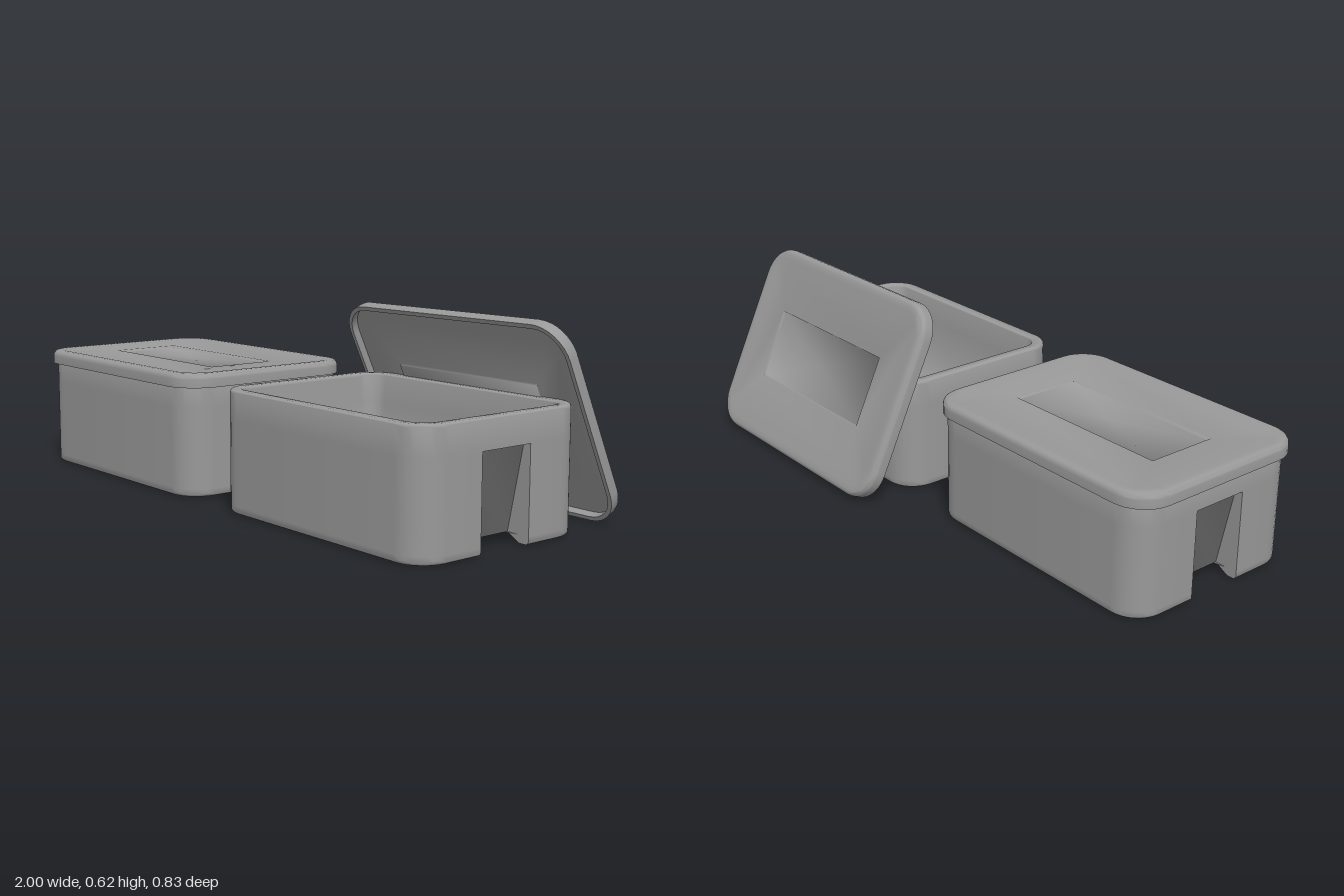
import * as THREE from 'three';
import { toCreasedNormals } from 'three/addons/utils/BufferGeometryUtils.js';

const material = new THREE.MeshStandardMaterial({ color: 0x999999 });
const NOTCH = 0.094; // half width of the side notch
const H = Math.PI / 2;

// One rounded-rectangle ring; a notched one also gets recessed columns on both ends
function ring({ hx, hz, r, y, recess }, notched) {
  const pts = [], n = 8, w = Math.min(NOTCH, hz);
  const notch = (s) => {
    const [rx, ry] = recess ?? [hx, y];
    pts.push([s * hx, y, -s * w], [s * rx, ry, -s * w], [s * rx, ry, s * w], [s * hx, y, s * w]);
  };
  [[1, 1], [-1, 1], [-1, -1], [1, -1]].forEach(([sx, sz], k) => {
    if (notched && k === 0) notch(1);
    if (notched && k === 2) notch(-1);
    for (let i = 0; i <= n; i++) {
      const a = (k + i / n) * H;
      pts.push([sx * (hx - r) + r * Math.cos(a), y, sz * (hz - r) + r * Math.sin(a)]);
    }
  });
  return pts;
}

// Skin a list of rings, dropping collapsed triangles; only right-angled edges stay sharp
function loft(rings, notched = false) {
  const loops = rings.map((s) => ring(s, notched).map((p) => new THREE.Vector3(...p)));
  const pos = [];
  const tri = (a, b, c) => {
    if (new THREE.Triangle(a, b, c).getArea() > 1e-8) for (const p of [a, b, c]) pos.push(p.x, p.y, p.z);
  };
  for (let j = 0; j < loops.length - 1; j++) {
    const lo = loops[j], up = loops[j + 1];
    lo.forEach((a, i) => {
      const k = (i + 1) % lo.length;
      tri(a, up[i], up[k]);
      tri(a, up[k], lo[k]);
    });
  }
  const g = new THREE.BufferGeometry();
  g.setAttribute('position', new THREE.Float32BufferAttribute(pos, 3));
  return toCreasedNormals(g, 1.45);
}

// Ring maker: the base rectangle moved inwards by d
const insetter = (hx, hz, r) => (d, y, recess) =>
  ({ hx: hx - d, hz: hz - d, r: Math.max(r - d, 0.02), y, recess: recess && [hx - recess[0], recess[1]] });
const centre = (y) => ({ hx: 0, hz: 0, r: 0, y });

// Rounded edge around (d, y), from angle a0 to a1
function round(at, d, y, rad, a0, a1, recess) {
  return Array.from({ length: 5 }, (_, i) => {
    const a = a0 + (a1 - a0) * i / 4;
    return at(d - rad * Math.cos(a), y + rad * Math.sin(a), recess);
  });
}

// Tub: foot rim, notched outer wall, top rim and tapered basin
function boxGeometry() {
  const at = insetter(0.452, 0.322, 0.1);
  const back = [0.08, 0.03];
  return loft([
    centre(0.03),
    at(0.04, 0.03, back),
    at(0.035, 0.005, back),
    ...round(at, 0.012, 0.017, 0.012, -H, 0, back),
    at(0, 0.03, back),
    at(0, 0.294, [0.025, 0.294]),
    at(0, 0.294),
    ...round(at, 0.01, 0.375, 0.01, 0, H),
    ...round(at, 0.032, 0.375, 0.01, H, 2 * H),
    at(0.046, 0.29),
    at(0.09, 0.045),
    centre(0.045),
  ], true);
}

// Lid: skirt, rounded shoulder and a stepped, recessed panel
function lidGeometry() {
  const at = insetter(0.467, 0.335, 0.11);
  const panel = (d, y) => ({ hx: 0.295 - d, hz: 0.12 - d, r: 0, y });
  return loft([
    centre(0.014),
    panel(0.002, 0.014),
    panel(0, 0.023),
    at(0.06, 0.025),
    at(0.014, 0.025),
    at(0.014, 0),
    at(0, 0),
    ...round(at, 0.018, 0.027, 0.018, 0, H),
    at(0.035, 0.045),
    at(0.06, 0.041),
    panel(0, 0.039),
    panel(0.002, 0.03),
    centre(0.03),
  ]);
}

export function createModel() {
  const model = new THREE.Group();
  const box = boxGeometry(), lid = lidGeometry();
  const add = (name, geometry, x, y, z, tilt = 0) => {
    const mesh = new THREE.Mesh(geometry, material);
    mesh.name = name;
    mesh.position.set(x, y, z);
    mesh.rotation.x = tilt;
    model.add(mesh);
  };

  // Closed container
  add('closedBox', box, -0.531, 0, 0.083);
  add('closedLid', lid, -0.533, 0.36, 0.083);

  // Open container with its lid leaning on the back
  add('openBox', box, 0.528, 0, 0.083);
  add('leaningLid', lid, 0.533, 0.307, -0.239, -1.132);
  return model;
}
